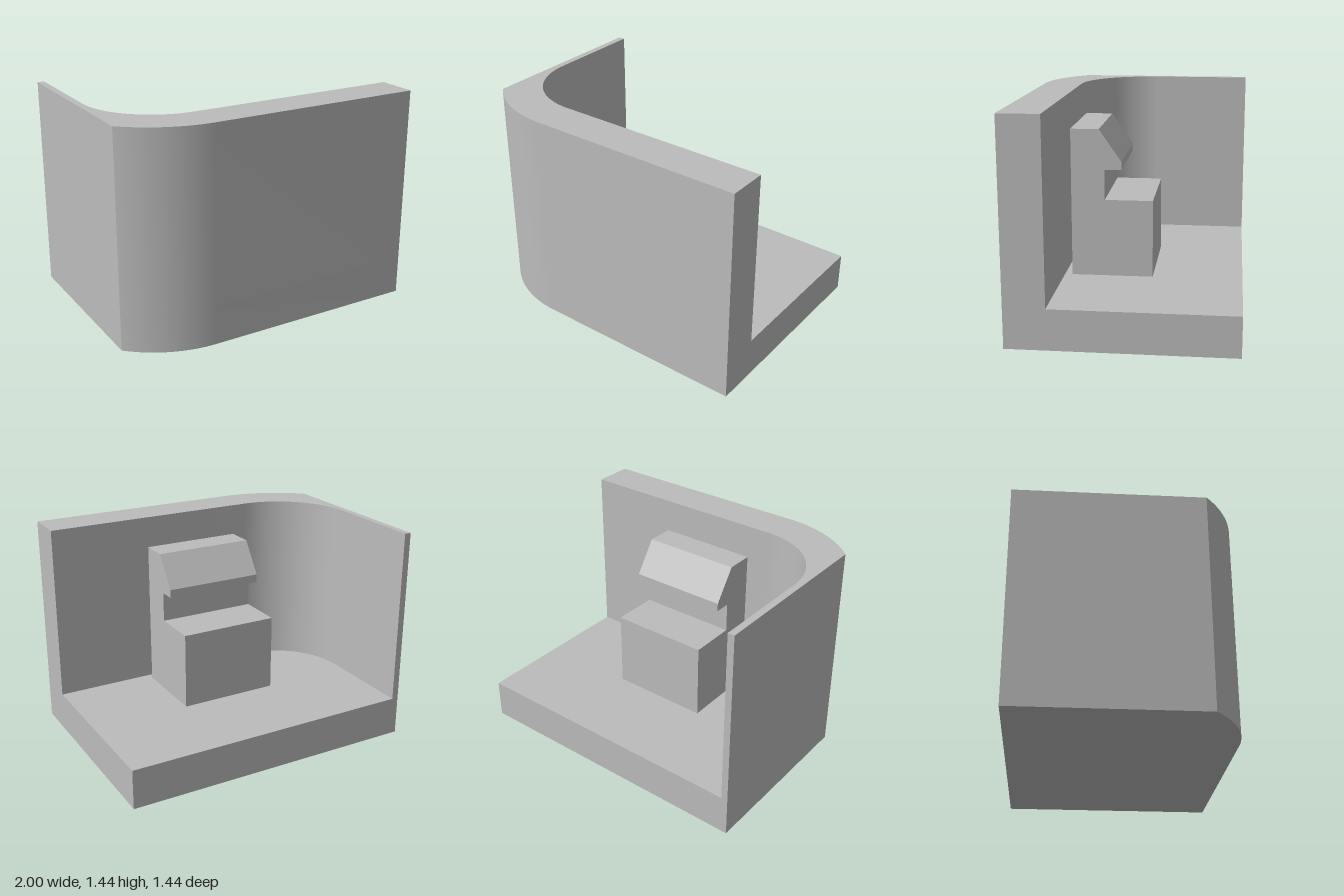
import * as THREE from 'three';
import { toCreasedNormals } from 'three/addons/utils/BufferGeometryUtils.js';

const HALF_W = 1, HALF_D = 0.72, HEIGHT = 1.44, FLOOR = 0.265;
// Shared centre of the rounded corner, in plan (x, z)
const CX = -0.455, CZ = -0.045, OUTER_R = HALF_D - CZ, INNER_R = 0.5;

const grey = new THREE.MeshStandardMaterial({ color: 0xbcbcbc });
grey.name = 'grey';

function part(name, geometry) {
  const mesh = new THREE.Mesh(toCreasedNormals(geometry, 0.4), grey);
  mesh.name = name;
  return mesh;
}

// Extrudes a plan drawn in (x, z) between two heights
function extrudePlan(shape, bottom, top) {
  const g = new THREE.ExtrudeGeometry(shape, { depth: top - bottom, bevelEnabled: false, curveSegments: 32 });
  g.rotateX(Math.PI / 2);
  g.translate(0, top, 0);
  return g;
}

// Outer outline: front edge, rounded corner cut off by the side, side edge
function outerEdge() {
  const s = new THREE.Shape();
  const end = Math.PI - Math.acos((HALF_W + CX) / OUTER_R);
  s.moveTo(HALF_W, HALF_D);
  s.lineTo(CX, HALF_D);
  s.absarc(CX, CZ, OUTER_R, Math.PI / 2, end, false);
  s.lineTo(-HALF_W, -HALF_D);
  return s;
}

export function createModel() {
  const group = new THREE.Group();
  group.name = 'corner';

  // Floor slab
  const floor = outerEdge();
  floor.lineTo(HALF_W, -HALF_D);
  floor.closePath();
  group.add(part('floor', extrudePlan(floor, 0, FLOOR)));

  // Thick front wall curving into the thin side wall
  const wall = outerEdge();
  wall.lineTo(CX - INNER_R, -HALF_D);
  wall.lineTo(CX - INNER_R, CZ);
  wall.absarc(CX, CZ, INNER_R, Math.PI, Math.PI / 2, true);
  wall.lineTo(HALF_W, CZ + INNER_R);
  wall.closePath();
  group.add(part('curvedWall', extrudePlan(wall, FLOOR, HEIGHT)));

  // Stepped block with an overhanging, sloped head; profile in (z, y)
  const profile = [
    [0.405, FLOOR], [0.405, 1.245], [0.22, 1.245], [0.075, 1.035],
    [0.075, 0.98], [0.185, 0.98], [0.185, 0.78], [-0.13, 0.78], [-0.13, FLOOR],
  ].map(([z, y]) => new THREE.Vector2(z, y));
  const width = 0.67;
  const block = new THREE.ExtrudeGeometry(new THREE.Shape(profile), { depth: width, bevelEnabled: false });
  block.translate(0, 0, -width / 2);
  block.rotateY(-Math.PI / 2);
  group.add(part('steppedBlock', block));

  return group;
}
